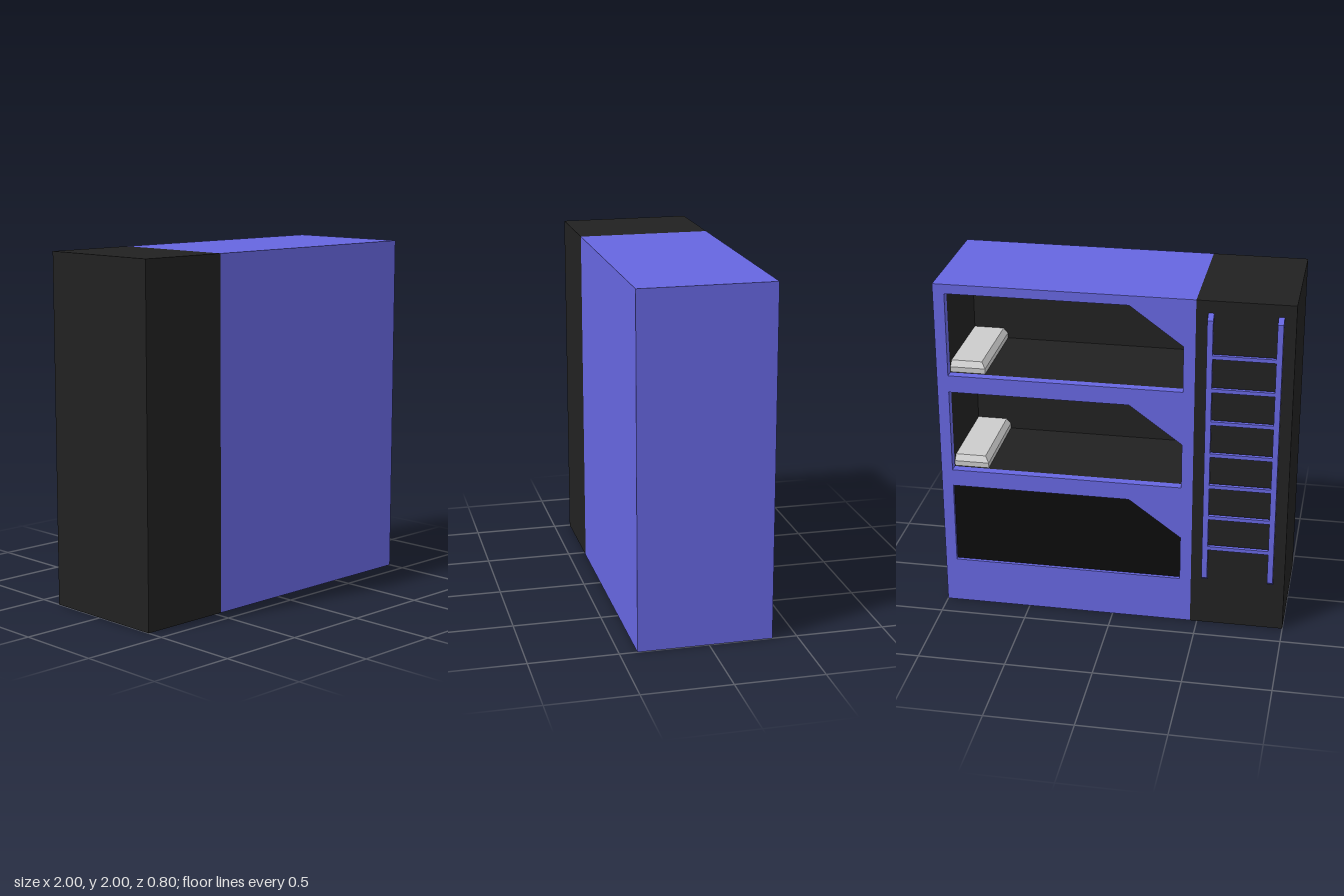
import * as THREE from 'three';

const mat = (color) => new THREE.MeshStandardMaterial({ color, flatShading: true, side: THREE.DoubleSide });
const purple = mat(0x6666e0), black = mat(0x212121), dark = mat(0x0c0c0c), grey = mat(0xcccccc);

const BACK = -0.36, FRONT = 0.4, RIM = -0.31, INNER = 0.25; // z of outer faces, rim and bunk end
const LEFT = 0.935, RIGHT = -0.395, CUT = -0.095; // x limits of an opening
const HEIGHT = 0.49, SHOULDER = 0.27, STEP = 0.59;

function add(parent, name, geometry, material, x = 0, y = 0, z = 0) {
  const mesh = new THREE.Mesh(geometry, material);
  mesh.name = name;
  mesh.position.set(x, y, z);
  parent.add(mesh);
  return mesh;
}

const points = (list) => list.map(([x, y]) => new THREE.Vector2(x, y));

// opening outline with one cut corner, from the top of the entry wall round to its foot
const opening = (y) => points([
  [RIGHT, y + SHOULDER], [CUT, y + HEIGHT], [LEFT, y + HEIGHT], [LEFT, y], [RIGHT, y],
]);

// thin wall that follows an outline between two depths
function strip(path, z0, z1) {
  const v = [];
  for (let i = 0; i + 1 < path.length; i++) {
    const a = path[i], b = path[i + 1];
    v.push(a.x, a.y, z0, b.x, b.y, z0, b.x, b.y, z1);
    v.push(a.x, a.y, z0, b.x, b.y, z1, a.x, a.y, z1);
  }
  const g = new THREE.BufferGeometry();
  g.setAttribute('position', new THREE.Float32BufferAttribute(v, 3));
  g.computeVertexNormals();
  return g;
}

const face = (outline) => new THREE.ShapeGeometry(new THREE.Shape(outline));

// pillow with its near end and entry side bevelled
function pillowGeometry(w, h, d) {
  const g = new THREE.BoxGeometry(w, h, d, 1, 2, 1);
  const p = g.attributes.position;
  for (let i = 0; i < p.count; i++) {
    if (p.getY(i) < h * 0.4) continue;
    if (p.getX(i) < 0) p.setX(i, p.getX(i) + 0.025);
    if (p.getZ(i) < 0) p.setZ(i, p.getZ(i) + 0.03);
  }
  g.computeVertexNormals();
  return g;
}

function createBunk(y) {
  const bunk = new THREE.Group();
  bunk.name = 'bunk';
  bunk.position.y = y;
  const o = opening(0);
  add(bunk, 'bunkRim', strip([...o, o[0]], BACK, RIM), purple);
  add(bunk, 'bunkSlope', strip(o.slice(0, 2), RIM, INNER), dark);
  add(bunk, 'bunkLining', strip(o.slice(1), RIM, INNER), black);
  add(bunk, 'entryPost', strip([o[4], o[0]], RIM, RIM + 0.03), black);
  add(bunk, 'entryWall', strip([o[4], o[0]], RIM + 0.03, INNER), purple);
  add(bunk, 'bunkEndWall', face(o), black, 0, 0, INNER);
  add(bunk, 'pillow', pillowGeometry(0.2, 0.06, 0.55), grey, LEFT - 0.1, 0.03, INNER - 0.275);
  return bunk;
}

function createLadder() {
  const ladder = new THREE.Group();
  ladder.name = 'ladder';
  // rail side profile as (z, y), bent towards the wall at both ends
  const profile = new THREE.Shape(points([
    [-0.36, 0.29], [-0.4, 0.32], [-0.4, 1.9], [-0.36, 1.93],
    [-0.36, 1.9], [-0.378, 1.885], [-0.378, 0.335], [-0.36, 0.325],
  ]));
  for (const x of [-0.935, -0.558]) {
    // profile axes (z, y) are turned so that the thickness runs along x
    const rail = new THREE.ExtrudeGeometry(profile, { depth: 0.032, bevelEnabled: false });
    add(ladder, 'ladderRail', rail.rotateY(-Math.PI / 2), purple, x + 0.032);
  }
  const rung = new THREE.BoxGeometry(0.35, 0.022, 0.022);
  for (let i = 0; i < 7; i++) add(ladder, 'ladderRung', rung, purple, -0.73, 1.69 - i * 0.196, -0.389);
  return ladder;
}

// front and top sheets of one section, hollow and open underneath
function addSheets(parent, name, x0, x1, material) {
  const w = x1 - x0, x = (x0 + x1) / 2, d = FRONT - BACK, z = (FRONT + BACK) / 2;
  add(parent, name + 'Front', new THREE.PlaneGeometry(w, 2), material, x, 1, FRONT);
  add(parent, name + 'Top', new THREE.PlaneGeometry(w, d).rotateX(-Math.PI / 2), material, x, 2, z);
  return { w, x, d, z };
}

export function createModel() {
  const model = new THREE.Group();
  model.name = 'bunkUnit';
  const sills = [0, 1, 2].map((i) => 0.275 + i * STEP);

  // cabinet shell with three openings at the back
  const cabinet = addSheets(model, 'cabinet', -0.46, 1, purple);
  const side = new THREE.PlaneGeometry(cabinet.d, 2).rotateY(Math.PI / 2);
  add(model, 'cabinetSide', side, purple, 1, 1, cabinet.z);
  const outline = new THREE.Shape(points([[-0.46, 0], [1, 0], [1, 2], [-0.46, 2]]));
  for (const y of sills) outline.holes.push(new THREE.Path(opening(y)));
  add(model, 'cabinetBack', new THREE.ShapeGeometry(outline), purple, 0, 0, BACK);

  // closed lower compartment and two open bunks
  const lower = opening(sills[0]);
  add(model, 'lowerRim', strip([...lower, lower[0]], BACK, BACK + 0.02), purple);
  add(model, 'lowerPanel', face(lower), dark, 0, 0, BACK + 0.02);
  for (const y of sills.slice(1)) model.add(createBunk(y));

  // side column with the ladder
  const column = addSheets(model, 'column', -1, -0.46, black);
  add(model, 'columnSide', side, black, -1, 1, column.z);
  add(model, 'columnBack', new THREE.PlaneGeometry(column.w, 2), black, column.x, 1, BACK);
  model.add(createLadder());
  return model;
}
